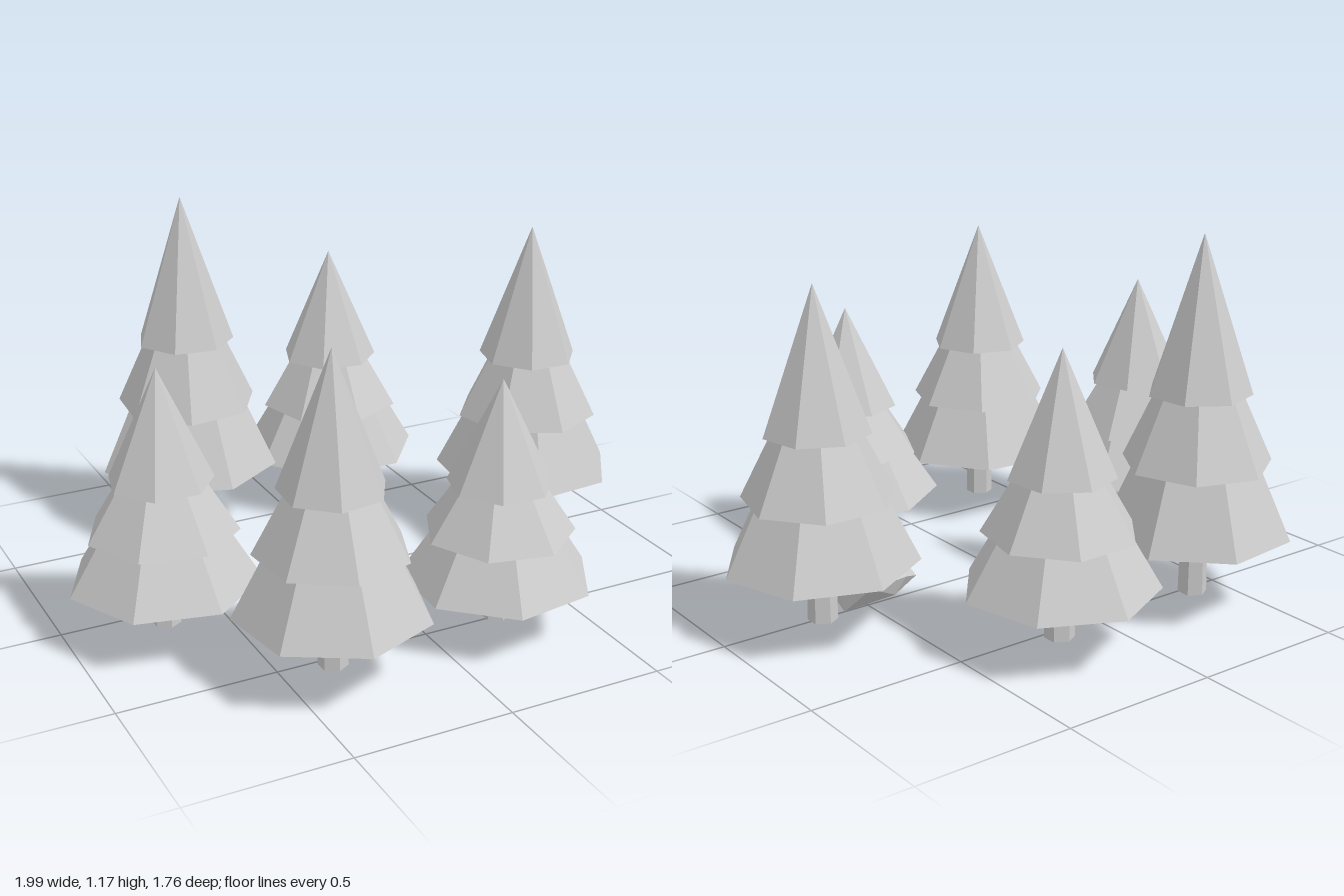
import * as THREE from 'three';
import { ConvexGeometry } from 'three/addons/geometries/ConvexGeometry.js';

const SIDES = 7;
const GROUND = 0.03; // foot of every trunk

// Tiers as fractions of tree height, with lower and upper radius
const TIERS = [
  { name: 'lowerBranches', from: 0.18, to: 0.40, bottom: 0.3, top: 0.187 },
  { name: 'middleBranches', from: 0.375, to: 0.60, bottom: 0.235, top: 0.118 },
  { name: 'treeTop', from: 0.57, to: 1, bottom: 0.163, top: 0 },
];

// Position, tip height and the turn of each tier in degrees (from +x towards +z)
const TREES = [
  { x: -0.342, z: -0.572, tip: 1.17, turns: [31.5, 5, 20] },
  { x: 0.205, z: -0.587, tip: 0.912, turns: [12.5, 38, 20] },
  { x: 0.697, z: -0.06, tip: 1.067, turns: [7.7, 39, 14] },
  { x: 0.227, z: 0.535, tip: 0.81, turns: [4.1, 25.7, 15] },
  { x: -0.355, z: 0.578, tip: 1.015, turns: [-8.9, -5, 4] },
  { x: -0.698, z: 0.116, tip: 0.86, turns: [25.5, 25, 13] },
];

function createTree({ x, z, tip, turns }, material) {
  const tree = new THREE.Group();
  tree.name = 'firTree';
  tree.position.set(x, GROUND, z);
  const height = tip - GROUND;

  // Short trunk reaching a little into the lowest tier
  const trunkHeight = height * 0.22;
  const trunk = new THREE.Mesh(
    new THREE.CylinderGeometry(0.042, 0.046, trunkHeight, 6), material);
  trunk.name = 'trunk';
  trunk.position.y = trunkHeight / 2;
  tree.add(trunk);

  // Stacked branch tiers, each closed underneath
  TIERS.forEach((tier, i) => {
    const h = (tier.to - tier.from) * height;
    const start = THREE.MathUtils.degToRad(90 - turns[i]);
    const mesh = new THREE.Mesh(
      new THREE.CylinderGeometry(tier.top, tier.bottom, h, SIDES, 1, false, start), material);
    mesh.name = tier.name;
    mesh.position.y = tier.from * height + h / 2;
    tree.add(mesh);
  });
  return tree;
}

function createRock(material) {
  const corners = [
    [0.34, 0.07, 0.02], [0.35, 0.08, -0.05], [0.42, 0.11, -0.1],
    [0.375, 0.145, 0.02], [0.44, 0.16, 0.0], [0.59, 0.13, 0.02],
    [0.45, 0.14, 0.09], [0.47, 0.085, 0.165], [0.47, 0.045, 0.165],
    [0.375, 0.05, 0.125], [0.59, 0.06, 0.1], [0.585, 0, 0],
    [0.55, 0.1, -0.1], [0.45, 0.05, -0.08],
  ].map((p) => new THREE.Vector3(...p));
  const rock = new THREE.Mesh(new ConvexGeometry(corners), material);
  rock.name = 'rock';
  return rock;
}

export function createModel() {
  const grey = new THREE.MeshStandardMaterial({ color: 0xcccccc });
  grey.name = 'light grey';
  grey.flatShading = true;

  const model = new THREE.Group();
  model.name = 'firGrove';
  TREES.forEach((tree) => model.add(createTree(tree, grey)));
  model.add(createRock(grey));
  return model;
}
